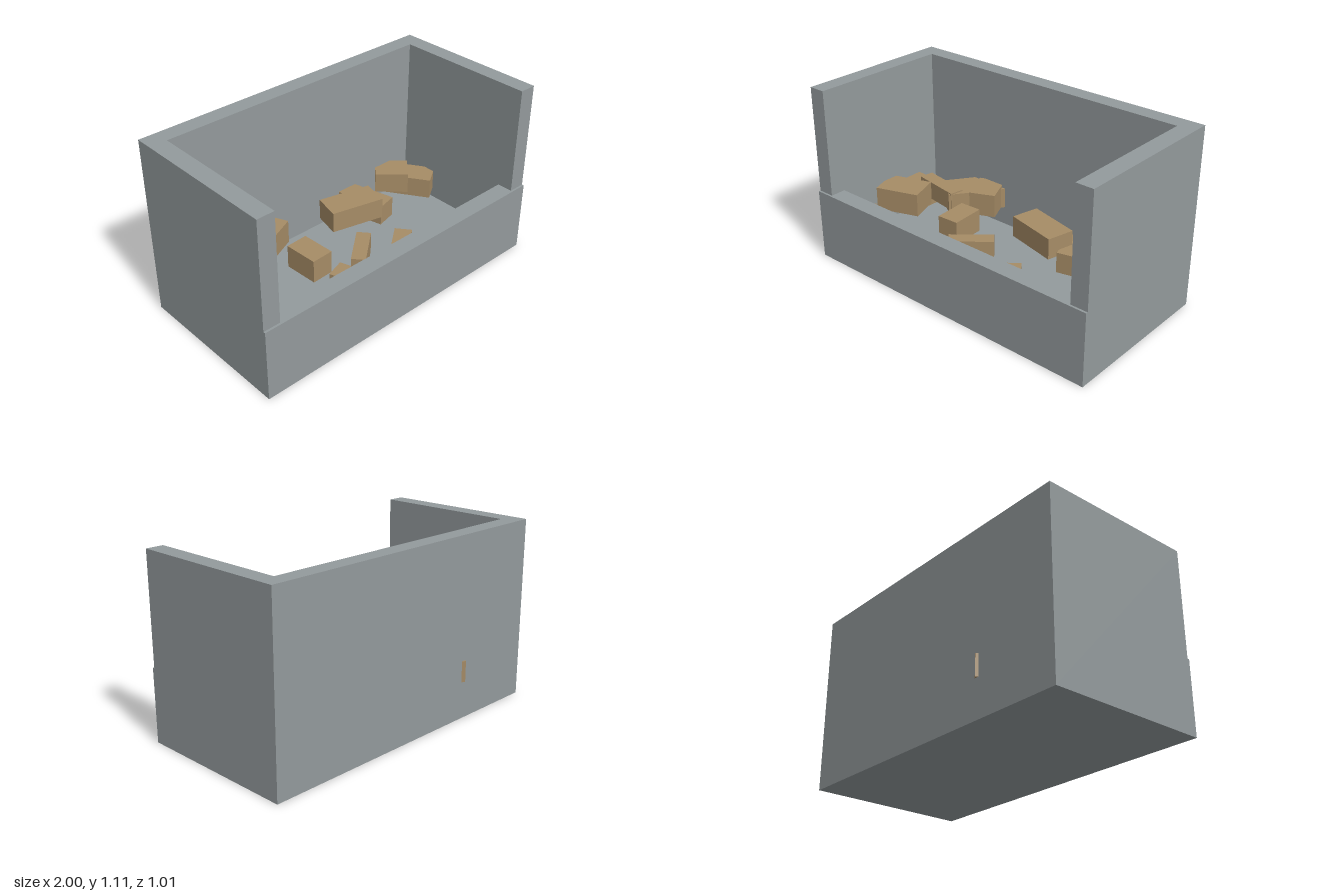
import * as THREE from 'three';

export function createModel() {
  const model = new THREE.Group();
  const grey = new THREE.MeshStandardMaterial({ color: 0x939a9c });
  grey.name = 'grey wall';
  const tan = new THREE.MeshStandardMaterial({ color: 0xa68c66 });
  tan.name = 'tan block';

  // Box spanning the given ranges
  function panel(name, [x0, x1], [y0, y1], [z0, z1]) {
    const mesh = new THREE.Mesh(new THREE.BoxGeometry(x1 - x0, y1 - y0, z1 - z0), grey);
    mesh.position.set((x0 + x1) / 2, (y0 + y1) / 2, (z0 + z1) / 2);
    mesh.name = name;
    model.add(mesh);
  }

  // Open-topped bin with a low front wall
  const inner = 0.894, height = 1.11, back = -0.49, side = 0.497;
  panel('floor', [-inner, inner], [0, 0.11], [-0.385, 0.4]);
  panel('backWall', [-inner, inner], [0, height], [back, -0.385]);
  panel('rightWall', [-1, -inner], [0, height], [back, side]);
  panel('leftWall', [inner, 1], [0, height], [back, side]);
  panel('frontWall', [-1, 1], [0, 0.445], [0.4, 0.51]);

  // Loose blocks: x, z, length, width, turn in degrees, bottom, top
  const blocks = [
    [0.195, -0.165, 0.34, 0.175, -13.6, 0.24, 0.372],
    [0.393, -0.26, 0.34, 0.135, -76, 0.15, 0.28],
    [0.69, -0.315, 0.21, 0.18, -43, 0.2, 0.33],
    [0.766, -0.257, 0.35, 0.165, -57, 0.17, 0.3],
    [-0.47, -0.296, 0.36, 0.21, 54.5, 0.23, 0.36],
    [-0.36, -0.305, 0.22, 0.165, -66, 0.23, 0.378],
    [-0.63, -0.17, 0.325, 0.09, -9.5, 0.25, 0.367],
    [-0.8, -0.13, 0.2, 0.2, -3, 0.2, 0.34],
    [-0.76, 0.032, 0.28, 0.2, 19, 0.24, 0.387],
    [-0.298, 0.02, 0.14, 0.215, 3, 0.2, 0.345],
    [-0.225, 0.245, 0.125, 0.14, 19, 0.13, 0.27],
    [-0.05, 0.185, 0.265, 0.085, 40, 0.2, 0.333],
    [0.185, 0.27, 0.325, 0.105, 38, 0.13, 0.27],
    [-0.79, 0.33, 0.34, 0.12, -43, 0.13, 0.27],
  ];
  const pile = new THREE.Group();
  pile.name = 'blockPile';
  blocks.forEach(([x, z, length, width, turn, y0, y1], i) => {
    const block = new THREE.Mesh(new THREE.BoxGeometry(length, y1 - y0, width), tan);
    block.position.set(x, (y0 + y1) / 2, z);
    block.rotation.y = THREE.MathUtils.degToRad(turn);
    block.name = `block${i + 1}`;
    pile.add(block);
  });
  model.add(pile);
  return model;
}
